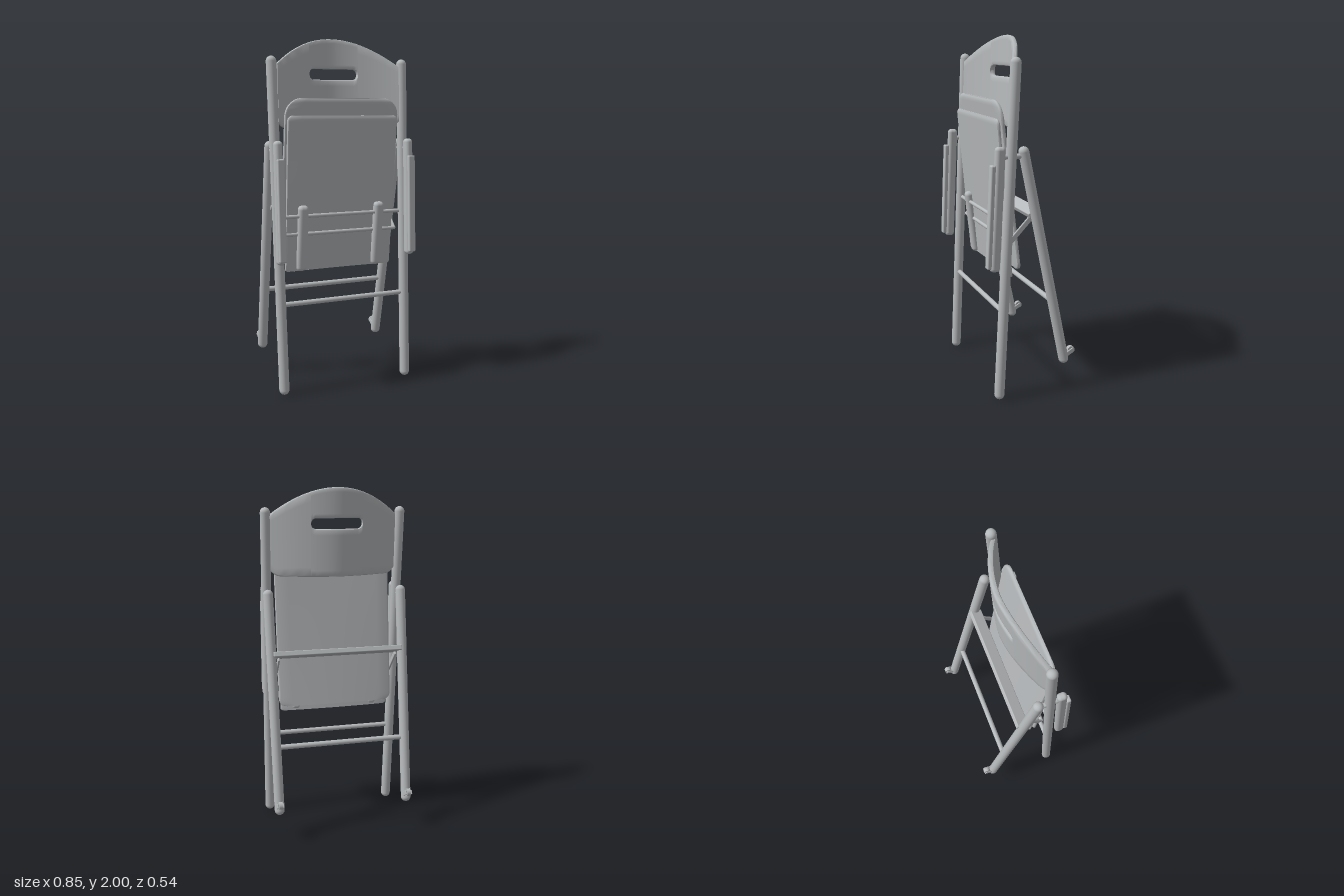
import * as THREE from 'three';
import { toCreasedNormals } from 'three/addons/utils/BufferGeometryUtils.js';
import { RoundedBoxGeometry } from 'three/addons/geometries/RoundedBoxGeometry.js';

const V = (x, y, z) => new THREE.Vector3(x, y, z);
const UP = V(0, 1, 0);

export function createModel() {
  const model = new THREE.Group();
  const grey = new THREE.MeshStandardMaterial({ color: 0xb6b9bb });

  grey.name = 'grey';

  function add(name, geometry) {
    const mesh = new THREE.Mesh(geometry, grey);
    mesh.name = name;
    model.add(mesh);
    return mesh;
  }

  function align(mesh, a, b) {
    mesh.position.copy(a).add(b).multiplyScalar(0.5);
    mesh.quaternion.setFromUnitVectors(UP, b.clone().sub(a).normalize());
    return mesh;
  }

  // Round-ended tube whose tips reach a and b
  function rod(name, a, b, r) {
    return align(add(name, new THREE.CapsuleGeometry(r, a.distanceTo(b) - 2 * r, 6, 20)), a, b);
  }

  // Rounded bar from a to b, w wide and d deep
  function bar(name, a, b, w, d, r) {
    return align(add(name, new RoundedBoxGeometry(w, a.distanceTo(b), d, 3, r)), a, b);
  }

  // Closed solid through equal-length rings of points
  function loft(name, rings) {
    const n = rings[0].length, idx = [], last = rings.length - 1;
    const pts = rings.flat();
    for (let i = 0; i < last; i++)
      for (let j = 0; j < n; j++) {
        const a = i * n + j, b = i * n + (j + 1) % n;
        idx.push(a, b, b + n, a, b + n, a + n);
      }
    for (const [k, flip] of [[0, true], [last, false]]) {
      const c = pts.length;
      pts.push(rings[k].reduce((s, p) => s.add(p), V(0, 0, 0)).divideScalar(n));
      for (let j = 0; j < n; j++) {
        const a = k * n + j, b = k * n + (j + 1) % n;
        idx.push(c, flip ? b : a, flip ? a : b);
      }
    }
    // keep the faces outward
    let volume = 0;
    for (let i = 0; i < idx.length; i += 3)
      volume += pts[idx[i]].dot(pts[idx[i + 1]].clone().cross(pts[idx[i + 2]]));
    if (volume < 0) idx.reverse();
    const g = new THREE.BufferGeometry().setFromPoints(pts);
    g.setIndex(idx);
    return add(name, toCreasedNormals(g, 0.7));
  }

  // Rounded slab section from lo to hi along u, t thick along v
  function section(lo, hi, t, r, point) {
    const side = [], steps = 10;
    for (let i = 0; i <= steps; i++) side.push(lo + r + (hi - lo - 2 * r) * i / steps);
    return [
      ...side.map(u => [u, t / 2]), [hi - r * 0.3, t * 0.4], [hi, t * 0.15], [hi, -t * 0.15], [hi - r * 0.3, -t * 0.4],
      ...side.reverse().map(u => [u, -t / 2]), [lo + r * 0.3, -t * 0.4], [lo, -t * 0.15], [lo, t * 0.15], [lo + r * 0.3, t * 0.4],
    ].map(([u, v]) => point(u, v));
  }

  // Curved backrest, built around the hand slot
  const backZ = (x, y) => 0.1 + (1.87 - y) * 0.05 - 0.11 * (1 - Math.pow(Math.abs(x) / 0.37, 1.7));
  const topY = x => 2 - 0.15 * (x / 0.37) ** 2;
  const lowY = x => 1.5 + 0.03 * Math.max(0, (Math.abs(x) - 0.32) / 0.05) ** 2;
  const slot = x => Math.sqrt(Math.max(0, 0.03 ** 2 - Math.max(0, Math.abs(x) - 0.12) ** 2));
  const backPart = (name, xs, lo, hi) => loft(name, xs.map(x =>
    section(lo(x), hi(x), 0.03, 0.01, (y, v) => V(x, y, backZ(x, y) + v))));
  const half = [0.15, 0.147, 0.14, 0.13, 0.12, 0.09, 0.06, 0.03];
  const middle = [...half.map(x => -x), 0, ...[...half].reverse()];
  backPart('backrestUpper', middle, x => 1.8 + slot(x), topY);
  backPart('backrestLower', middle, lowY, x => 1.8 - slot(x));
  for (const s of [-1, 1])
    backPart('backrestSide', [0.15, 0.19, 0.23, 0.27, 0.3, 0.33, 0.35, 0.37].map(x => s * x), lowY, topY);

  // Folded seat: upper shell and underside shell
  function seatShell(name, y0, z0, y1, z1, t, w0, w1, corner) {
    const rings = [];
    for (let i = 0; i <= 40; i++) {
      const k = (1 - Math.cos(Math.PI * i / 40)) / 2;
      const y = y0 + (y1 - y0) * k;
      const e = Math.max(0, corner - (y1 - y), 0.4 * corner - (y - y0));
      const c = y1 - y < corner ? corner : 0.4 * corner;
      const w = w0 + (w1 - w0) * k - (c - Math.sqrt(Math.max(0, c * c - e * e)));
      const thick = t * Math.max(0.3, Math.sqrt(Math.min(1, (y1 - y) / 0.02)));
      rings.push(section(-w, w, thick, 0.012, (x, v) =>
        V(x, y, z0 + (z1 - z0) * k + v + 0.012 * (x / 0.35) ** 2 * (1 - k))));
    }
    loft(name, rings);
  }
  seatShell('seatTop', 0.73, 0.04, 1.665, 0.163, 0.022, 0.345, 0.345, 0.1);
  seatShell('seatUnderside', 0.69, 0.085, 1.57, 0.172, 0.02, 0.33, 0.335, 0.03);

  // Runners under the seat
  for (const s of [-1, 1])
    bar('seatRunner', V(s * 0.235, 0.69, 0.1), V(s * 0.235, 1.07, 0.145), 0.06, 0.05, 0.022);

  // Legs, armrests, links and feet on both sides
  for (const s of [-1, 1]) {
    const foot = s < 0 ? -0.375 : 0.395;
    const top = s < 0 ? -0.4 : 0.395;
    rod('frontLeg', V(foot, 0.005, 0.196), V(top, 1.89, 0.098), 0.029);
    rod('rearLeg', V(foot, 0.155, -0.21), V(top, 1.43, 0.06), 0.029);

    const x = s * 0.397;
    bar('armrest', V(x, 0.76, 0.222), V(x, 1.435, 0.187), 0.046, 0.056, 0.02);
    bar('armrestPad', V(x, 0.78, 0.257), V(x, 1.34, 0.23), 0.042, 0.026, 0.008);
    rod('armrestPivot', V(x, 1.38, 0.21), V(x, 1.38, 0.06), 0.014);
    bar('foldingLink', V(s * 0.352, 0.9, 0.115), V(s * 0.352, 1.04, -0.02), 0.012, 0.03, 0.005);

    // small roller on each rear foot
    for (const d of [-0.016, 0.016])
      bar('rollerBracket', V(foot + d, 0.2, -0.2), V(foot + d, 0.235, -0.262), 0.008, 0.026, 0.003);
    const roller = add('roller', new THREE.CylinderGeometry(0.022, 0.022, 0.022, 20));
    roller.rotation.z = Math.PI / 2;
    roller.position.set(foot, 0.23, -0.248);
  }

  // Cross rods
  rod('frontCrossRod', V(-0.38, 0.52, 0.17), V(0.39, 0.52, 0.17), 0.014);
  rod('rearCrossRod', V(-0.385, 0.54, -0.13), V(0.39, 0.54, -0.13), 0.015);
  rod('upperSeatRod', V(-0.39, 1.01, 0.142), V(0.39, 1.01, 0.142), 0.011);
  rod('lowerSeatRod', V(-0.36, 0.905, 0.12), V(0.36, 0.905, 0.12), 0.011);

  // Flat brace between the rear legs
  const brace = add('rearBrace', new RoundedBoxGeometry(0.77, 0.03, 0.072, 2, 0.005));
  brace.position.set(0, 1.06, -0.018);
  brace.rotation.x = 0.45;

  return model;
}
